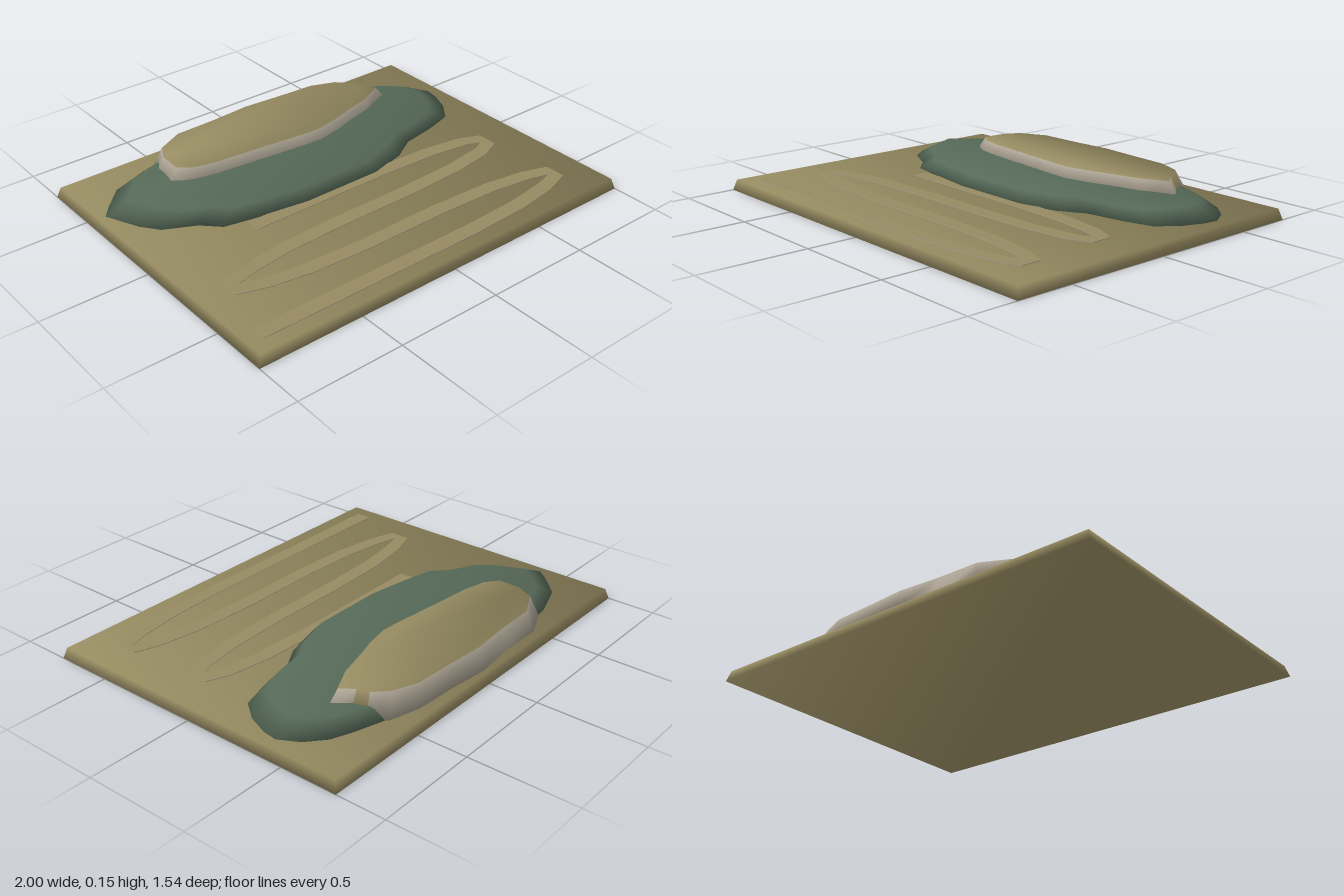
import * as THREE from 'three';

const sand = new THREE.MeshStandardMaterial({ color: 0x968b61 });
sand.name = 'sand';
const grass = new THREE.MeshStandardMaterial({ color: 0x566a58 });
grass.name = 'grass';
const rock = new THREE.MeshStandardMaterial({ color: 0xaca494 });
rock.name = 'rock';

// Solid between a lower and an upper [x, z] outline. Caps use the first
// material and walls the second; walls listed in cappedWalls match the caps.
function terrace(name, lower, upper, y0, y1, materials, { smooth = true, cappedWalls = [] } = {}) {
  const n = lower.length;
  const points = [
    ...lower.map(([x, z]) => new THREE.Vector3(x, y0, z)),
    ...upper.map(([x, z]) => new THREE.Vector3(x, y1, z)),
  ];
  const flat = upper.map(([x, z]) => new THREE.Vector2(x, z));
  const caps = [];
  const walls = [];
  for (const [a, b, c] of THREE.ShapeUtils.triangulateShape(flat, [])) {
    const turn = (flat[b].x - flat[a].x) * (flat[c].y - flat[a].y)
      - (flat[b].y - flat[a].y) * (flat[c].x - flat[a].x);
    const [p, q] = turn > 0 ? [c, b] : [b, c];
    caps.push([a + n, p + n, q + n], [a, q, p]);
  }
  const flip = THREE.ShapeUtils.area(flat) > 0;
  for (let i = 0; i < n; i++) {
    const j = (i + 1) % n;
    const [a, b] = flip ? [j, i] : [i, j];
    (cappedWalls.includes(i) ? caps : walls).push([a, b, b + n], [a, b + n, a + n]);
  }

  // Angle-weighted normals round the rims softly
  const faces = [...caps, ...walls];
  const sums = points.map(() => new THREE.Vector3());
  const faceNormals = faces.map((f) => {
    const normal = new THREE.Triangle(...f.map((i) => points[i])).getNormal(new THREE.Vector3());
    f.forEach((v, k) => {
      const e1 = points[f[(k + 1) % 3]].clone().sub(points[v]);
      const e2 = points[f[(k + 2) % 3]].clone().sub(points[v]);
      sums[v].addScaledVector(normal, e1.angleTo(e2));
    });
    return normal;
  });
  sums.forEach((s) => s.normalize());

  const position = [];
  const normals = [];
  faces.forEach((f, k) => f.forEach((v) => {
    position.push(...points[v].toArray());
    normals.push(...(smooth ? sums[v] : faceNormals[k]).toArray());
  }));
  const geometry = new THREE.BufferGeometry();
  geometry.setAttribute('position', new THREE.Float32BufferAttribute(position, 3));
  geometry.setAttribute('normal', new THREE.Float32BufferAttribute(normals, 3));
  geometry.addGroup(0, caps.length * 3, 0);
  geometry.addGroup(caps.length * 3, walls.length * 3, 1);
  const mesh = new THREE.Mesh(geometry, materials);
  mesh.name = name;
  return mesh;
}

const rectangle = (x, z) => [[-x, -z], [x, -z], [x, z], [-x, z]];

// Edges of the winding path: three hairpin bends, alternating in direction
function pathOutline() {
  const sides = [[[-0.92, 0.688]], [[-0.92, 0.616]]];
  const bends = [[0.55, 1, 0.835], [0.35, -1, 0.84], [0.145, 1, 0.805]];
  bends.forEach(([zc, dir, tip], i) => {
    const outer = [[0.2, 0.138], [0.5, 0.125], [0.7, 0.095], [tip, 0.05]];
    const inner = [[0.2, 0.066], [0.5, 0.054], [0.7, 0.026]];
    const near = (list) => list.map(([x, dz]) => [x * dir, zc + dz]);
    const far = (list) => list.map(([x, dz]) => [x * dir, zc - dz]).reverse();
    sides[i % 2].push(...near(outer), ...far(outer));
    sides[1 - (i % 2)].push(...near(inner), [(tip - 0.045) * dir, zc], ...far(inner));
  });
  sides[0].push([-0.5, 0.007]);
  sides[1].push([-0.5, 0.079]);
  return [...sides[0], ...sides[1].reverse()];
}

export function createModel() {
  const model = new THREE.Group();
  model.name = 'terrainModel';

  // Ground slab with slightly sloped rim
  model.add(terrace('groundSlab', rectangle(1, 0.77), rectangle(0.985, 0.755), 0, 0.05, [sand, sand]));

  // Grassy lower hill
  const hill = [
    [-0.95, -0.42], [-0.9, -0.48], [-0.8, -0.58], [-0.63, -0.64], [-0.54, -0.655],
    [0.55, -0.655], [0.7, -0.61], [0.8, -0.57], [0.88, -0.5], [0.93, -0.41],
    [0.92, -0.34], [0.88, -0.24], [0.81, -0.15], [0.67, -0.11], [0.5, -0.08],
    [0.38, -0.01], [0.2, 0.04], [-0.2, 0.04], [-0.4, 0.01], [-0.6, -0.03],
    [-0.68, -0.11], [-0.82, -0.18], [-0.88, -0.26],
  ];
  const hillTop = hill.map(([x, z]) => [x * 0.885, -0.31 + (z + 0.31) * 0.88]);
  model.add(terrace('grassHill', hill, hillTop, 0.05, 0.1, [grass, grass]));

  // Sandy plateau with rock walls
  const plateauBase = [
    [0, -0.735], [0.2, -0.715], [0.4, -0.705], [0.55, -0.665], [0.605, -0.59],
    [0.63, -0.53], [0.7, -0.45], [0.52, -0.375], [0.36, -0.335], [0.25, -0.3],
    [0.14, -0.28], [0.05, -0.285], [-0.2, -0.31], [-0.4, -0.33], [-0.54, -0.355],
    [-0.645, -0.41], [-0.62, -0.55], [-0.56, -0.655], [-0.42, -0.715], [-0.2, -0.715],
  ];
  const plateauTop = [
    [0, -0.705], [0.2, -0.69], [0.38, -0.68], [0.5, -0.635], [0.56, -0.575],
    [0.575, -0.52], [0.62, -0.46], [0.5, -0.4], [0.35, -0.36], [0.25, -0.33],
    [0.14, -0.308], [0.05, -0.312], [-0.2, -0.338], [-0.4, -0.358], [-0.51, -0.382],
    [-0.575, -0.43], [-0.57, -0.54], [-0.53, -0.62], [-0.4, -0.685], [-0.2, -0.69],
  ];
  model.add(terrace('plateau', plateauBase, plateauTop, 0.05, 0.15, [sand, rock], { cappedWalls: [4] }));

  // Winding path across the front
  const path = pathOutline();
  model.add(terrace('windingPath', path, path, 0.05, 0.053, [sand, rock], { smooth: false }));

  return model;
}
